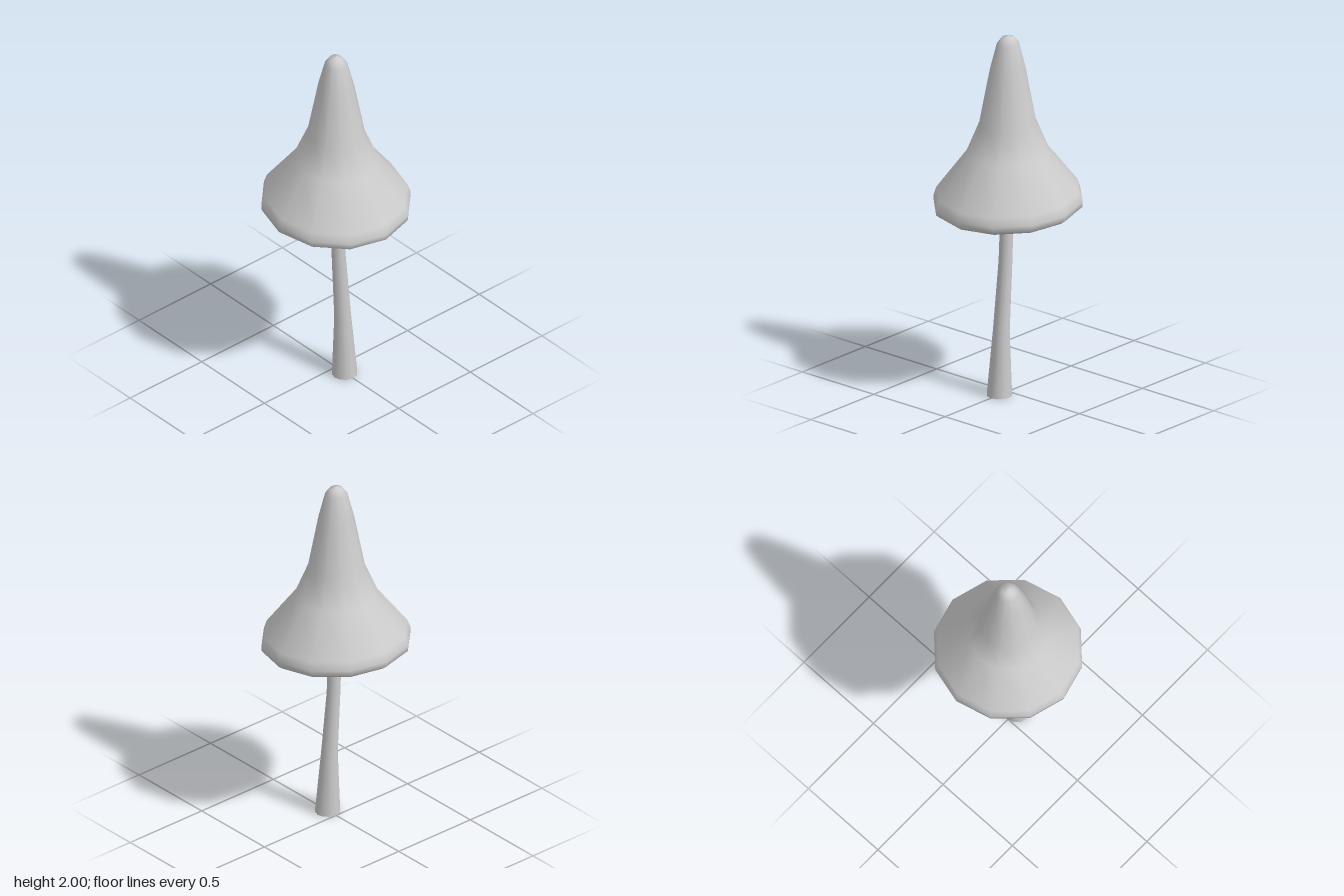
import * as THREE from 'three';

const SIDES = 12;

// Surface of revolution around y from [radius, height] pairs
function lathe(points) {
  return new THREE.LatheGeometry(points.map(([r, y]) => new THREE.Vector2(r, y)), SIDES);
}

export function createModel() {
  const group = new THREE.Group();
  const material = new THREE.MeshStandardMaterial({ color: 0xcccccc, side: THREE.DoubleSide });
  const add = (name, geometry) => {
    const mesh = new THREE.Mesh(geometry, material);
    mesh.name = name;
    group.add(mesh);
  };

  // Bell-shaped cap: shallow flared underside, rounded rim, outer bell up to the tip
  const cap = lathe([
    [0.03, 1.32], [0.09, 1.23], [0.19, 1.14], [0.32, 1.06],
    [0.375, 1.037], [0.398, 1.055], [0.4, 1.085], [0.384, 1.133], [0.22, 1.35],
    [0.154, 1.51], [0.097, 1.81], [0.06, 1.955], [0.035, 1.99], [0, 2],
  ]);
  // Tilt the cap down towards +x, keeping its outline centred
  cap.applyMatrix4(new THREE.Matrix4().set(
    1, 0, 0, 0,
    -0.055, 1, 0, 0,
    0, 0, 1, 0,
    0, 0, 0, 1,
  ));
  cap.computeVertexNormals();
  // Average normals across the lathe seam
  const n = cap.attributes.normal, rows = n.count / (SIDES + 1);
  for (let i = 0; i < rows; i++) {
    const a = new THREE.Vector3().fromBufferAttribute(n, i);
    const j = SIDES * rows + i;
    a.add(new THREE.Vector3().fromBufferAttribute(n, j)).normalize();
    n.setXYZ(i, a.x, a.y, a.z);
    n.setXYZ(j, a.x, a.y, a.z);
  }
  add('cap', cap);

  // Bent, tapering stem, open at the foot; rings are [radius, height, sideways shift]
  const rings = [
    [0.068, 0, 0.068], [0.045, 0.36, 0.053], [0.037, 0.74, 0.02],
    [0.036, 1.04, 0.006], [0.034, 1.38, 0],
  ];
  const stem = lathe(rings);
  const p = stem.attributes.position;
  for (let i = 0; i < p.count; i++) p.setX(i, p.getX(i) + rings[i % rings.length][2]);
  add('stem', stem);

  return group;
}
